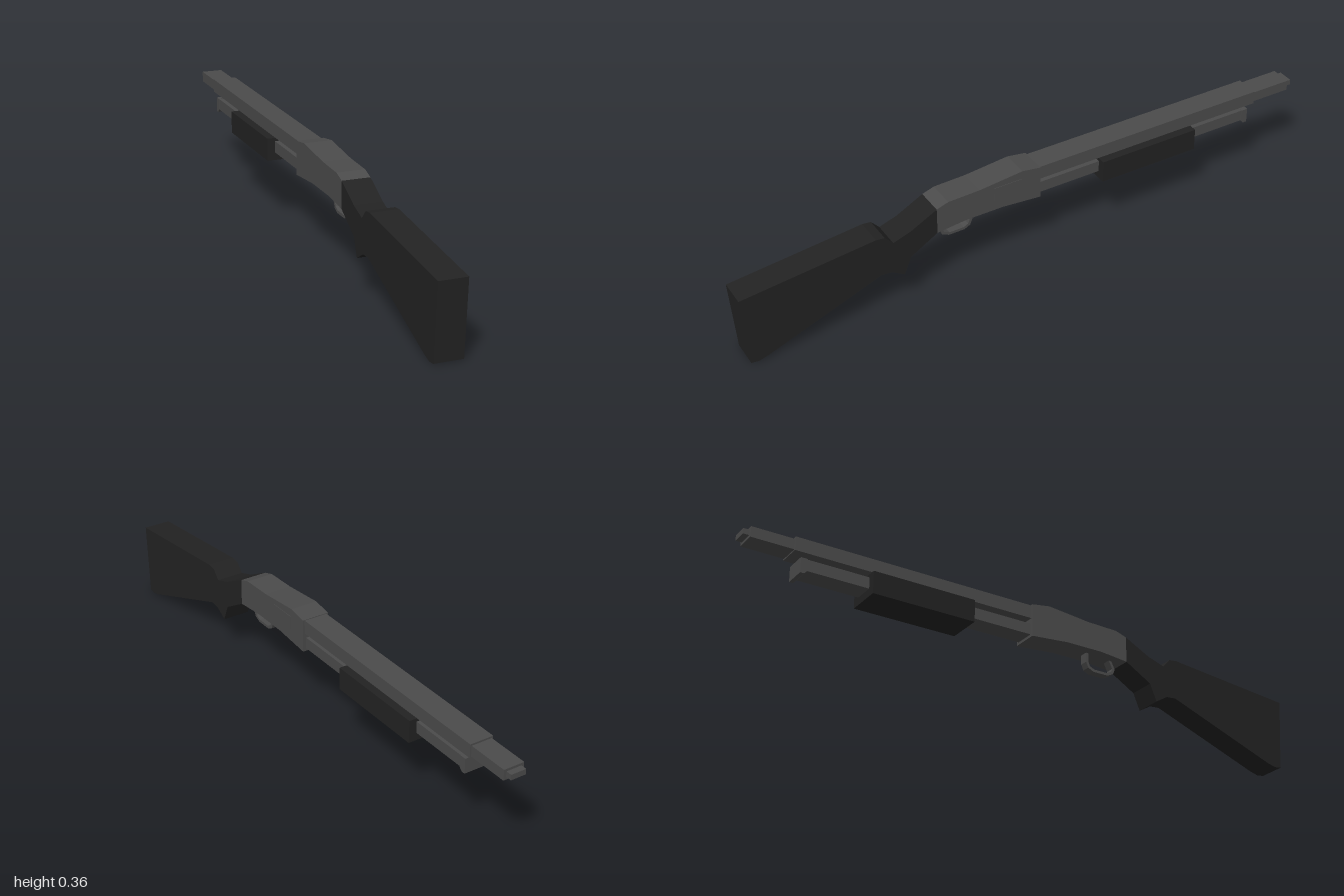
import * as THREE from 'three';

export function createModel() {
  const model = new THREE.Group();
  const mat = (name, color) => {
    const m = new THREE.MeshStandardMaterial({ color });
    m.name = name;
    return m;
  };
  const metal = mat('gunmetal grey', 0x4b4b4b);
  const polymer = mat('black polymer', 0x222222);

  const add = (name, geometry, material) => {
    const mesh = new THREE.Mesh(geometry, material);
    mesh.name = name;
    model.add(mesh);
  };
  // Side profile given as [z, y] points, extruded symmetrically across x
  const slab = (name, points, halfWidth, material) => {
    const shape = new THREE.Shape(points.map(([z, y]) => new THREE.Vector2(z, y)));
    const g = new THREE.ExtrudeGeometry(shape, { depth: halfWidth * 2, bevelEnabled: false });
    g.rotateY(-Math.PI / 2).translate(halfWidth, 0, 0);
    add(name, g, material);
  };
  // Box spanning z0..z1 and y0..y1
  const block = (name, z0, z1, y0, y1, halfWidth, material, x = 0) => {
    const g = new THREE.BoxGeometry(halfWidth * 2, y1 - y0, z1 - z0);
    g.translate(x, (y0 + y1) / 2, (z0 + z1) / 2);
    add(name, g, material);
  };

  // Shoulder stock with wrist and grip
  slab('stock', [
    [1, 0.245], [0.985, 0.003], [0.96, 0], [0.93, 0.008], [0.545, 0.153], [0.51, 0.15],
    [0.467, 0.124], [0.443, 0.182], [0.35, 0.237], [0.35, 0.325], [0.44, 0.278],
    [0.5, 0.258], [0.527, 0.288], [0.555, 0.291],
  ], 0.046, polymer);

  // Receiver
  slab('receiver', [
    [0.35, 0.237], [0.25, 0.247], [0.12, 0.247], [-0.015, 0.235], [-0.015, 0.346],
    [0.05, 0.356], [0.2, 0.341], [0.31, 0.338], [0.35, 0.325],
  ], 0.046, metal);
  block('ejectionPort', 0.055, 0.15, 0.283, 0.328, 0.001, metal, 0.0465);

  // Barrel, stepping down to the muzzle
  block('barrel', -0.84, -0.01, 0.299, 0.344, 0.04, metal);
  block('muzzle', -0.98, -0.84, 0.303, 0.338, 0.035, metal);
  block('muzzleTip', -1, -0.98, 0.312, 0.33, 0.026, metal);

  // Magazine tube, end cap and sliding fore grip
  block('magazineTube', -0.8, -0.01, 0.244, 0.282, 0.035, metal);
  slab('magazineCap', [[-0.795, 0.244], [-0.805, 0.233], [-0.818, 0.233], [-0.818, 0.283], [-0.795, 0.283]], 0.037, metal);
  block('foreGrip', -0.59, -0.237, 0.218, 0.293, 0.061, polymer);

  // Trigger guard: a thin open strap hanging below the receiver
  slab('triggerGuard', [
    [0.308, 0.25], [0.325, 0.215], [0.318, 0.197], [0.295, 0.186], [0.24, 0.186],
    [0.22, 0.196], [0.212, 0.215], [0.212, 0.252], [0.221, 0.252], [0.221, 0.217],
    [0.227, 0.203], [0.243, 0.195], [0.293, 0.195], [0.311, 0.204], [0.315, 0.215],
    [0.298, 0.25],
  ], 0.014, metal);

  return model;
}
